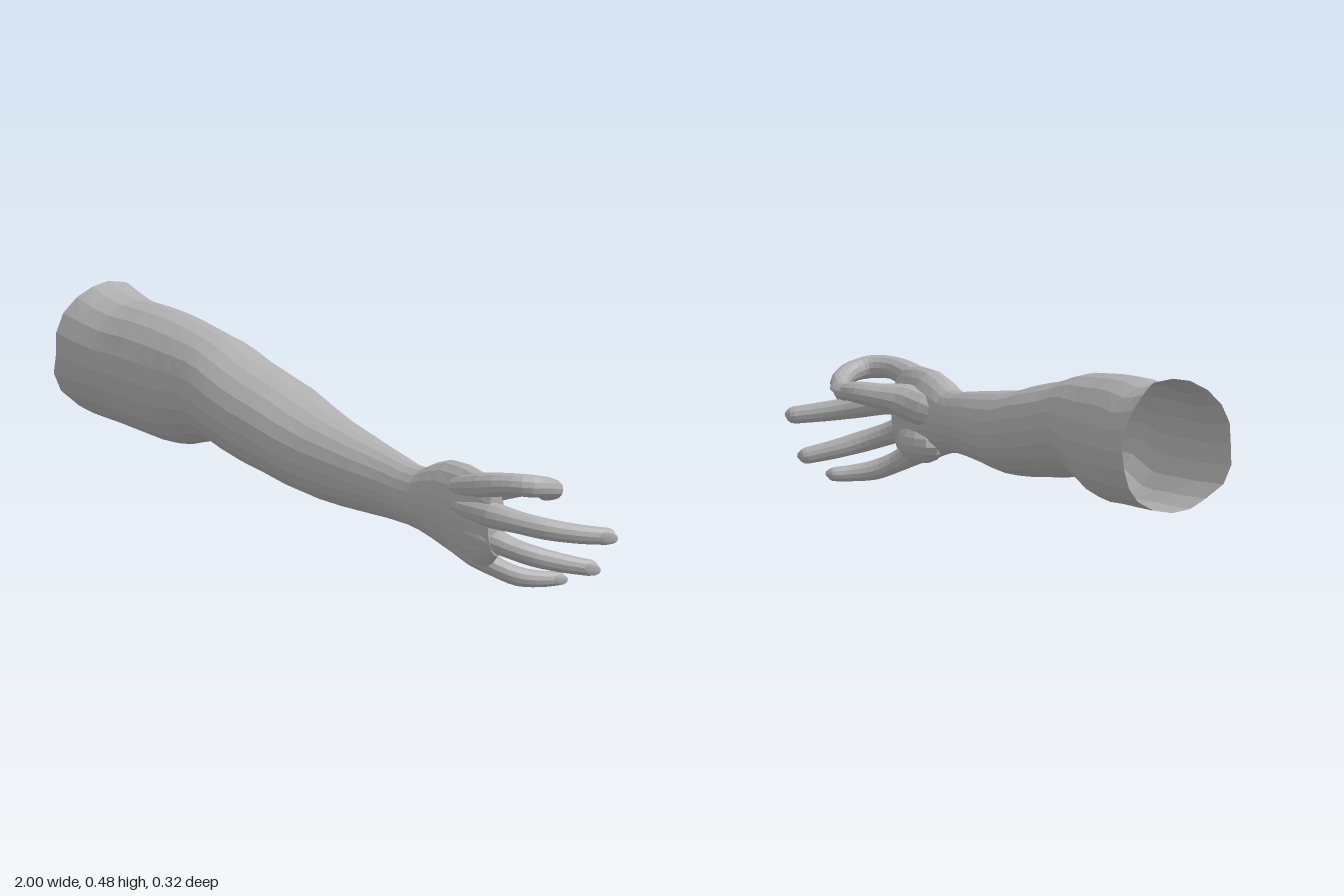
import * as THREE from 'three';

const SIDES = 20;

// Skin a list of equal-length point rings with quads
function skin(rings, closeEnd) {
  const pos = [], idx = [], n = rings[0].length;
  rings.forEach(r => r.forEach(p => pos.push(p.x, p.y, p.z)));
  for (let i = 0; i < rings.length - 1; i++) {
    for (let j = 0; j < n; j++) {
      const a = i * n + j, b = i * n + (j + 1) % n;
      idx.push(a, a + n, b, b, a + n, b + n);
    }
  }
  if (closeEnd) {
    const last = rings[rings.length - 1];
    const c = last.reduce((s, p) => s.add(p), new THREE.Vector3()).divideScalar(n);
    const base = (rings.length - 1) * n;
    pos.push(c.x, c.y, c.z);
    for (let j = 0; j < n; j++) idx.push(base + j, base + n, base + (j + 1) % n);
  }
  const g = new THREE.BufferGeometry();
  g.setAttribute('position', new THREE.Float32BufferAttribute(pos, 3));
  g.setIndex(idx);
  g.computeVertexNormals();
  return g;
}

// Arm cross-section from its top, bottom, back and front limits
function armRing([x, top, bottom, back, front], edge) {
  const ring = [];
  for (let j = 0; j < SIDES; j++) {
    const a = j / SIDES * Math.PI * 2;
    ring.push(new THREE.Vector3(
      x + (edge ? edge[j] : 0),
      (top + bottom) / 2 + Math.sin(a) * (top - bottom) / 2,
      (back + front) / 2 + Math.cos(a) * (front - back) / 2));
  }
  return ring;
}

// Round-tipped finger along points [x, y, z, radius]
function finger(name, pts, material, nailUp) {
  const group = new THREE.Group();
  group.name = name;
  const curve = new THREE.CatmullRomCurve3(pts.map(p => new THREE.Vector3(p[0], p[1], p[2])));
  const up = new THREE.Vector3(0, 1, 0), steps = (pts.length - 1) * 3;
  const rings = [];
  const addRing = (c, t, r) => {
    const n = t.clone().cross(up).normalize(), b = t.clone().cross(n), ring = [];
    for (let j = 0; j < 12; j++) {
      const a = j / 12 * Math.PI * 2;
      ring.push(c.clone().addScaledVector(n, r * Math.cos(a)).addScaledVector(b, -r * Math.sin(a)));
    }
    rings.push(ring);
  };
  for (let i = 0; i <= steps; i++) {
    const u = i / steps, f = u * (pts.length - 1), k = Math.min(Math.floor(f), pts.length - 2);
    addRing(curve.getPoint(u), curve.getTangent(u), THREE.MathUtils.lerp(pts[k][3], pts[k + 1][3], f - k));
  }
  // rounded tip
  const end = curve.getPoint(1), dir = curve.getTangent(1), r = pts[pts.length - 1][3];
  for (const a of [0.5, 0.95, 1.3]) {
    addRing(end.clone().addScaledVector(dir, r * Math.sin(a)), dir, r * Math.cos(a));
  }
  const body = new THREE.Mesh(skin(rings, true), material);
  body.name = name + 'Body';
  group.add(body);

  // thin oval nail lying on the outer side of the tip
  const out = nailUp ? nailUp.clone() : dir.clone().cross(up);
  out.addScaledVector(dir, -out.dot(dir)).normalize();
  const nail = new THREE.Mesh(new THREE.SphereGeometry(1, 12, 6), material);
  nail.name = name + 'Nail';
  nail.applyMatrix4(new THREE.Matrix4()
    .makeBasis(dir, out, dir.clone().cross(out))
    .setPosition(end.clone().addScaledVector(out, r * 0.9))
    .scale(new THREE.Vector3(r * 1.15, 0.0045, r * 0.75)));
  group.add(nail);
  return group;
}

export function createModel() {
  const model = new THREE.Group();
  model.name = 'arm';
  const skinGrey = new THREE.MeshStandardMaterial({ color: 0xb0b0b0, flatShading: true });
  skinGrey.name = 'skin grey';
  const openSkin = skinGrey;
  openSkin.side = THREE.DoubleSide;

  // ragged open edge at the shoulder, front side first, then over the top
  const edge = [0.0, -0.01, -0.01, 0, 0.01, 0.01, 0.02, -0.01, -0.02, -0.02,
    -0.02, -0.02, 0.0, 0.02, 0.02, 0.015, 0.01, 0.01, -0.02, -0.02];

  // x, top, bottom, back, front
  const sections = [
    [-0.98, 0.485, 0.145, -0.16, 0.15],
    [-0.92, 0.468, 0.143, -0.152, 0.145],
    [-0.85, 0.457, 0.14, -0.145, 0.14],
    [-0.75, 0.46, 0.135, -0.132, 0.138],
    [-0.67, 0.457, 0.13, -0.128, 0.136],
    [-0.6, 0.45, 0.133, -0.124, 0.136],
    [-0.53, 0.442, 0.152, -0.117, 0.138],
    [-0.47, 0.435, 0.168, -0.111, 0.143],
    [-0.41, 0.424, 0.168, -0.107, 0.15],
    [-0.34, 0.405, 0.155, -0.106, 0.157],
    [-0.25, 0.385, 0.141, -0.107, 0.163],
    [-0.15, 0.366, 0.13, -0.102, 0.165],
    [-0.05, 0.342, 0.117, -0.085, 0.163],
    [0.05, 0.322, 0.11, -0.065, 0.158],
    [0.15, 0.308, 0.11, -0.046, 0.153],
    [0.25, 0.294, 0.113, -0.026, 0.146],
    [0.35, 0.28, 0.115, -0.007, 0.134],
    [0.43, 0.268, 0.114, 0.006, 0.128],
    [0.48, 0.268, 0.108, 0.01, 0.125],
    [0.53, 0.29, 0.095, 0.005, 0.124],
    [0.58, 0.305, 0.078, -0.002, 0.12],
    [0.64, 0.306, 0.062, 0.0, 0.117],
    [0.7, 0.298, 0.05, 0.01, 0.11],
    [0.75, 0.287, 0.065, 0.025, 0.102],
    [0.785, 0.262, 0.095, 0.04, 0.094],
  ];
  const limb = new THREE.Mesh(
    skin(sections.map((s, i) => armRing(s, i === 0 ? edge : null)), true), openSkin);
  limb.name = 'forearmAndPalm';
  model.add(limb);

  // fingers, each from its knuckle bone to the tip: x, y, z, radius
  const fingers = {
    indexFinger: [[0.64, 0.25, 0.085, 0.026], [0.74, 0.268, 0.075, 0.034], [0.81, 0.282, 0.055, 0.029],
      [0.857, 0.28, 0.012, 0.029], [0.853, 0.268, -0.045, 0.026], [0.815, 0.25, -0.088, 0.024], [0.765, 0.233, -0.098, 0.02]],
    middleFinger: [[0.65, 0.205, 0.09, 0.026], [0.78, 0.2, 0.075, 0.034], [0.845, 0.188, 0.04, 0.029],
      [0.895, 0.175, -0.005, 0.028], [0.94, 0.162, -0.07, 0.025], [0.973, 0.153, -0.138, 0.022]],
    ringFinger: [[0.63, 0.15, 0.085, 0.026], [0.75, 0.138, 0.07, 0.033], [0.805, 0.115, 0.035, 0.028],
      [0.845, 0.095, -0.01, 0.027], [0.875, 0.075, -0.075, 0.024], [0.9, 0.06, -0.138, 0.021]],
    littleFinger: [[0.6, 0.11, 0.075, 0.026], [0.69, 0.083, 0.062, 0.032], [0.74, 0.053, 0.03, 0.026],
      [0.775, 0.032, -0.01, 0.025], [0.8, 0.024, -0.06, 0.021], [0.813, 0.022, -0.103, 0.018]],
  };
  for (const [name, pts] of Object.entries(fingers)) model.add(finger(name, pts, skinGrey));

  // thumb with its fleshy base, reaching round to the index tip
  model.add(finger('thumb', [[0.49, 0.2, 0.055, 0.035], [0.55, 0.21, 0.032, 0.047], [0.61, 0.225, 0.0, 0.045],
    [0.655, 0.235, -0.05, 0.033], [0.695, 0.242, -0.09, 0.028], [0.745, 0.241, -0.115, 0.021]],
  skinGrey, new THREE.Vector3(-0.3, 0.6, -0.7)));

  // fleshy heel of the palm below the little finger
  const heel = new THREE.Mesh(new THREE.SphereGeometry(1, 12, 8), skinGrey);
  heel.name = 'palmHeel';
  heel.scale.set(0.1, 0.05, 0.05);
  heel.position.set(0.6, 0.12, 0.035);
  model.add(heel);

  return model;
}
